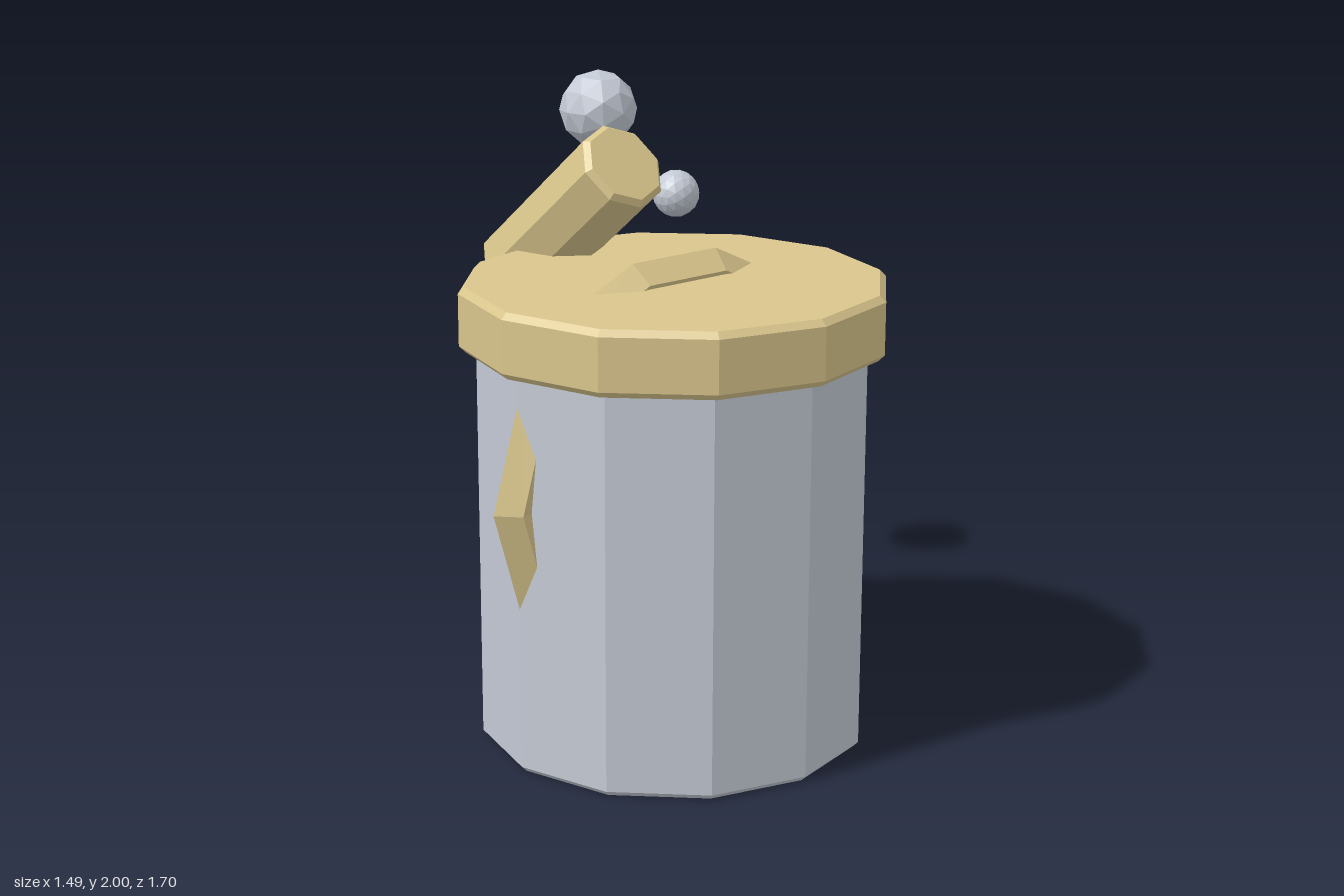
import * as THREE from 'three';
import { RoundedBoxGeometry } from 'three/addons/geometries/RoundedBoxGeometry.js';

const gold = new THREE.MeshStandardMaterial({ color: 0xd9c58c });
gold.name = 'gold';
const grey = new THREE.MeshStandardMaterial({ color: 0xc3c9d4 });
grey.name = 'grey';
const tan = new THREE.MeshStandardMaterial({ color: 0xd4c2a8 });
tan.name = 'tan';

// Faceted normals
function flat(geometry) {
  const g = geometry.index ? geometry.toNonIndexed() : geometry;
  g.computeVertexNormals();
  return g;
}

function add(parent, name, geometry, material, x = 0, y = 0, z = 0) {
  const mesh = new THREE.Mesh(flat(geometry), material);
  mesh.name = name;
  mesh.position.set(x, y, z);
  parent.add(mesh);
  return mesh;
}

// Closed prism with bevelled rims, from y0 to y1
function drum(r, y0, y1, sides, bevel) {
  const profile = [
    [0, y0], [r - bevel, y0], [r, y0 + bevel],
    [r, y1 - bevel], [r - bevel, y1], [0, y1],
  ].map(([x, y]) => new THREE.Vector2(x, y));
  return new THREE.LatheGeometry(profile, sides);
}

// Five-sided bar swept along a symmetric bent path, ridge pointing to +y
function barGeometry(path) {
  const section = [[0, 0.07], [0.067, 0.01], [0.04, -0.057], [-0.04, -0.057], [-0.067, 0.01]];
  const n = section.length;
  const pts = path.map(([x, y]) => new THREE.Vector2(x, y));
  const positions = [];
  const index = [];
  pts.forEach((p, i) => {
    const before = p.clone().sub(pts[Math.max(i - 1, 0)]).normalize();
    const after = pts[Math.min(i + 1, pts.length - 1)].clone().sub(p).normalize();
    const t = before.clone().add(after).normalize();
    const miter = 1 / t.dot(i ? before : after);
    for (const [z, h] of section) {
      positions.push(p.x - t.y * h * miter, p.y + t.x * h * miter, z);
    }
    if (i === 0) return;
    for (let k = 0; k < n; k++) {
      const a = (i - 1) * n + k;
      const c = (i - 1) * n + (k + 1) % n;
      index.push(a, c, a + n, c, c + n, a + n);
    }
  });
  const g = new THREE.BufferGeometry();
  g.setAttribute('position', new THREE.Float32BufferAttribute(positions, 3));
  g.setIndex(index);
  return g;
}

export function createModel() {
  const model = new THREE.Group();
  model.name = 'bin';

  // Bin and lid share an off-centre axis
  const can = new THREE.Group();
  can.name = 'can';
  can.position.set(-0.025, 0, 0.168);
  model.add(can);
  add(can, 'body', drum(0.628, 0, 1.32, 12, 0.018), grey);
  add(can, 'lid', drum(0.682, 1.29, 1.497, 12, 0.02), gold);

  // Grip on the lid
  add(can, 'lidHandle',
    barGeometry([[-0.45, 1.36], [-0.155, 1.5], [0.155, 1.5], [0.45, 1.36]]), gold);

  // Bent grips on both sides
  for (const side of [-1, 1]) {
    const handle = add(can, side > 0 ? 'leftHandle' : 'rightHandle',
      barGeometry([[-0.41, 0.53], [0, 0.65], [0.41, 0.53]]), gold, 0, 0.87, 0);
    handle.rotation.z = -side * Math.PI / 2;
  }

  // Small box on the back
  add(can, 'backBox', new RoundedBoxGeometry(0.25, 0.255, 0.12, 1, 0.02), tan, 0, 0.975, -0.618);

  // Tilted roll leaning over the rear rim
  const roll = add(model, 'roll', drum(0.15, -0.356, 0.356, 8, 0.018), gold, -0.025, 1.603, -0.353);
  roll.rotation.x = 0.9;

  // Floating balls
  add(model, 'largeBall', new THREE.IcosahedronGeometry(0.135, 1), grey, 0.395, 1.865, -0.72);
  add(model, 'smallBall', new THREE.IcosahedronGeometry(0.083, 2), grey, 0.66, 1.55, -0.617);

  return model;
}
